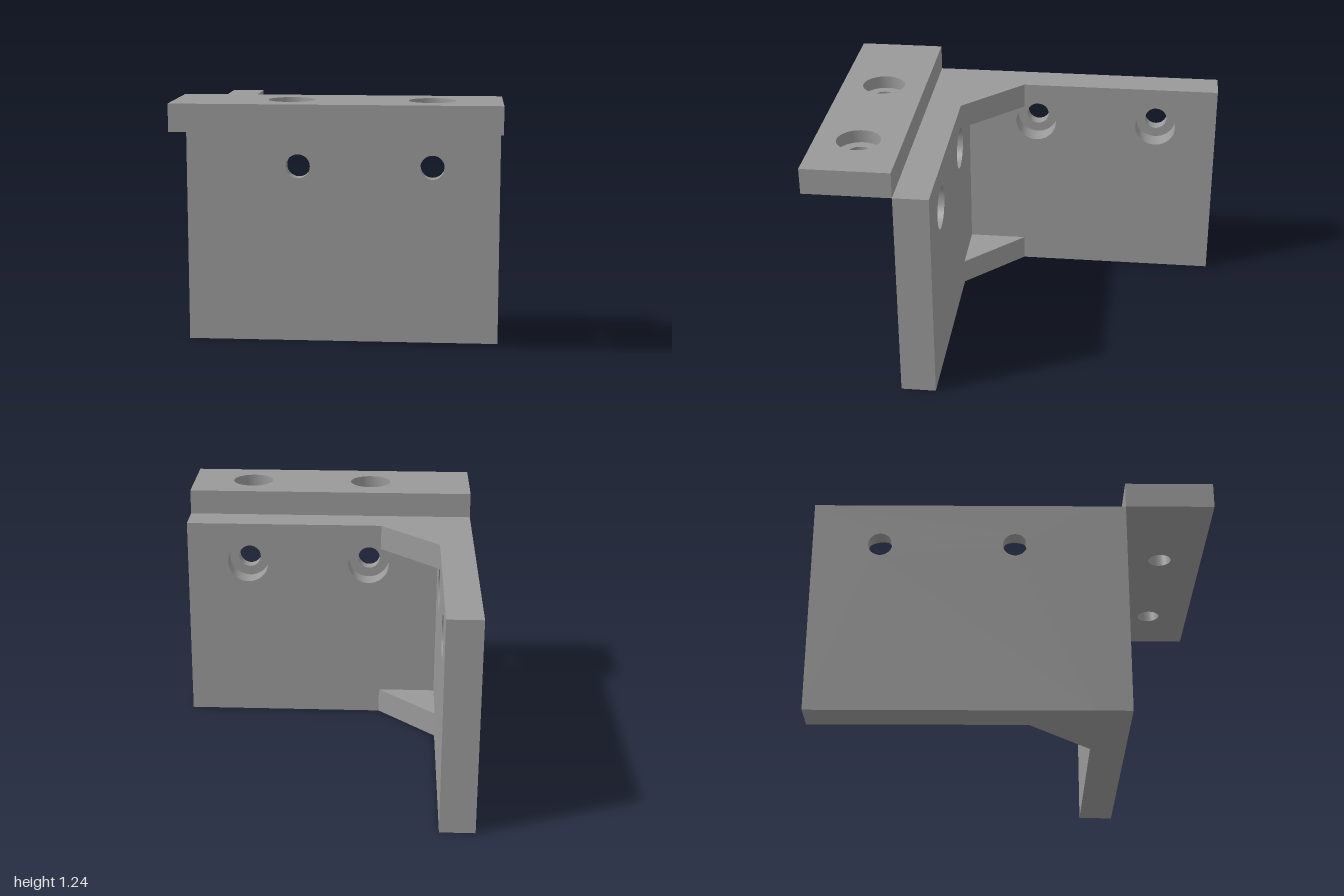
import * as THREE from 'three';
import { toCreasedNormals } from 'three/addons/utils/BufferGeometryUtils.js';

const U = 2 / 45; // one design unit

const grey = new THREE.MeshStandardMaterial({ color: 0x999999 });
grey.name = 'grey';

// Extrudes a shape from z0 to z1, with sharp edges and smooth bores
function slab(name, shape, z0, z1) {
  const geo = new THREE.ExtrudeGeometry(shape, { depth: z1 - z0, bevelEnabled: false, curveSegments: 24 });
  geo.translate(0, 0, z0);
  const mesh = new THREE.Mesh(toCreasedNormals(geo, 0.6), grey);
  mesh.name = name;
  return mesh;
}

// Rectangle with round holes
function rect(x0, y0, x1, y1, holes, radius) {
  const s = new THREE.Shape([[x0, y0], [x1, y0], [x1, y1], [x0, y1]].map(p => new THREE.Vector2(...p)));
  for (const [x, y] of holes) {
    s.holes.push(new THREE.Path().absarc(x, y, radius, 0, Math.PI * 2, true));
  }
  return s;
}

// Plate with screw holes, counterbored from its +z face
function plate(name, [x0, y0, x1, y1], thickness, holes) {
  const group = new THREE.Group();
  group.name = name;
  const web = 1.5; // material left under the screw head
  group.add(
    slab(name + 'Outer', rect(x0, y0, x1, y1, holes, 1.35), 0, web),
    slab(name + 'Counterbored', rect(x0, y0, x1, y1, holes, 2.5), web, thickness)
  );
  return group;
}

export function createModel() {
  const model = new THREE.Group();
  model.name = 'cornerBracket';

  // Front wall, counterbored from behind
  const front = plate('frontWall', [-17.5, 0, 17.5, 25], 4, [[5, 20], [-10, 20]]);
  front.rotation.y = Math.PI;
  front.position.z = 12.5;

  // Side wall, counterbored from the inside
  const side = plate('sideWall', [-8.5, 0, 22.5, 25], 4, [[0, 20], [15, 20]]);
  side.rotation.y = Math.PI / 2;
  side.position.x = -17.5;

  // Mounting flange along the top front edge, counterbored from above
  const flange = plate('topFlange', [-17.5, -22.5, 17.5, -12.5], 3, [[-5, -17.5], [10, -17.5]]);
  flange.rotation.x = -Math.PI / 2;
  flange.position.y = 25;

  model.add(front, side, flange);

  // Triangular gussets in the inner corner, bottom and top
  const corner = new THREE.Shape([
    new THREE.Vector2(-13.5, -8.5), new THREE.Vector2(-6.5, -8.5), new THREE.Vector2(-13.5, -1.5)
  ]);
  for (const [name, y] of [['lowerGusset', 0], ['upperGusset', 22]]) {
    const gusset = slab(name, corner, 0, 3);
    gusset.rotation.x = -Math.PI / 2;
    gusset.position.y = y;
    model.add(gusset);
  }

  model.scale.setScalar(U);
  return model;
}
